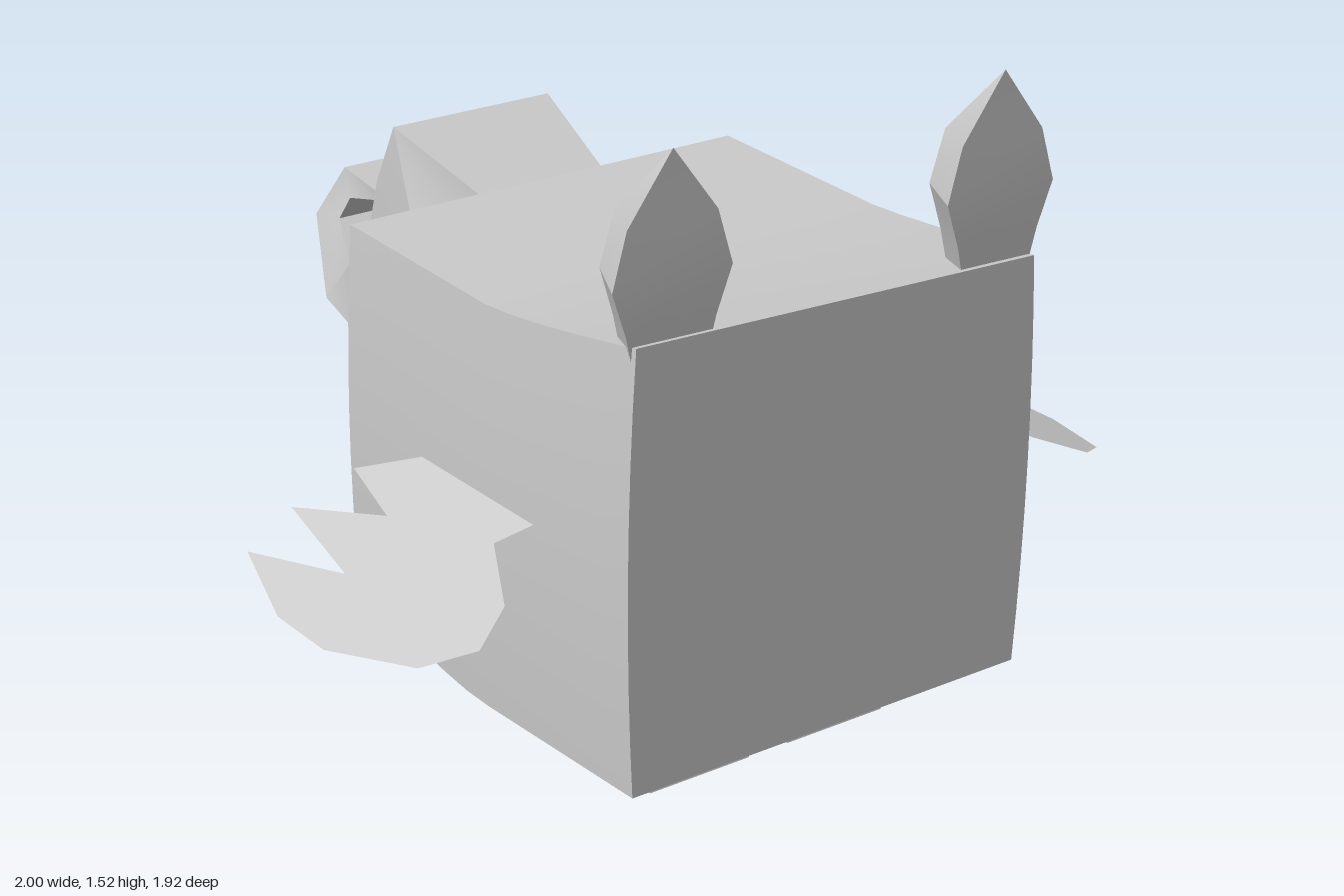
import * as THREE from 'three';
import { toCreasedNormals } from 'three/addons/utils/BufferGeometryUtils.js';

const material = new THREE.MeshStandardMaterial({ color: 0xcccccc });
const thinMaterial = new THREE.MeshStandardMaterial({ color: 0xcccccc, side: THREE.DoubleSide });

function addMesh(parent, name, geometry, mat = material) {
  const mesh = new THREE.Mesh(geometry, mat);
  mesh.name = name;
  parent.add(mesh);
  return mesh;
}

// Skin four-cornered rings into a closed solid, keeping sharp edges creased.
function loft(rings, crease = 0.5) {
  const pos = [];
  const tri = (a, b, c) => pos.push(...a, ...b, ...c);
  for (let i = 0; i < rings.length - 1; i++) {
    const a = rings[i], b = rings[i + 1];
    for (let j = 0; j < 4; j++) {
      const k = (j + 1) % 4;
      tri(a[j], b[j], a[k]);
      tri(a[k], b[j], b[k]);
    }
  }
  const s = rings[0], e = rings[rings.length - 1];
  tri(s[0], s[1], s[2]);
  tri(s[0], s[2], s[3]);
  tri(e[2], e[1], e[0]);
  tri(e[3], e[2], e[0]);
  const geometry = new THREE.BufferGeometry();
  geometry.setAttribute('position', new THREE.Float32BufferAttribute(pos, 3));
  return toCreasedNormals(geometry, crease);
}

// Horizontal trapezoid ring: front half-width, back half-width, front z, back z.
const flatRing = (y, wf, wb, zf, zb) => [[wf, y, zf], [-wf, y, zf], [-wb, y, zb], [wb, y, zb]];

// Body: a cube with bulging sides, a dipped top and a belly rising to the back.
function bodyGeometry() {
  const geometry = new THREE.BoxGeometry(1.04, 1, 1.04, 6, 8, 12);
  const p = geometry.attributes.position;
  for (let i = 0; i < p.count; i++) {
    const x = p.getX(i), t = p.getY(i) + 0.5, z = p.getZ(i) + 0.44;
    const top = z > 0.45
      ? 1.065 + Math.pow((z - 0.45) / 0.51, 1.3) * (0.057 - 0.034 * x)
      : 1.065 + 0.018 * (0.45 - z) / 0.53;
    const bottom = z < 0.4
      ? 0.13 + 0.075 * Math.pow((0.4 - z) / 0.48, 1.4)
      : 0.13 + 0.02 * (z - 0.4) / 0.56;
    const bulge = 1 + 0.03 * (1 - Math.pow(2 * t - 1, 2));
    p.setXYZ(i, x * bulge, bottom + (top - bottom) * t, z);
  }
  geometry.computeVertexNormals();
  return geometry;
}

// Leaf-shaped ear with a flat front and a narrower back.
function earGeometry() {
  return loft([
    flatRing(1.08, 0.09, 0.05, 0.945, 0.85),
    flatRing(1.16, 0.11, 0.06, 0.947, 0.837),
    flatRing(1.26, 0.146, 0.08, 0.95, 0.818),
    flatRing(1.38, 0.11, 0.055, 0.947, 0.832),
    flatRing(1.525, 0, 0, 0.945, 0.945),
  ], 0.4);
}

// Flared square foot.
function footGeometry() {
  const rings = [[0, 0.135], [0.06, 0.121], [0.12, 0.112], [0.2, 0.11]];
  return loft(rings.map(([y, w]) => flatRing(y, w, w, w, -w)));
}

// Feathered wing: a thin sheet sloping down and outward, drawn as [x, z].
function wingGeometry(side) {
  const outline = [
    [0.5, 0.25], [0.525, 0.225], [0.64, 0.105], [0.69, 0.315], [0.79, 0.09],
    [0.845, 0.395], [0.925, 0.13], [1, 0.38], [1, 0.56], [0.92, 0.785],
    [0.82, 0.855], [0.715, 0.79], [0.615, 0.605], [0.5, 0.645],
  ];
  const shape = new THREE.Shape(outline.map(([x, z]) => new THREE.Vector2(side * x, z)));
  const geometry = new THREE.ShapeGeometry(shape);
  const p = geometry.attributes.position;
  for (let i = 0; i < p.count; i++) {
    const x = p.getX(i), z = p.getY(i);
    p.setXYZ(i, x, 0.645 - (Math.abs(x) - 0.53) * 0.383, z);
  }
  geometry.computeVertexNormals();
  return geometry;
}

// Curling tail: each section gives z, y, half-width of its inner then outer edge.
function tailGeometry() {
  const sections = [
    [-0.07, 1.062, 0.163, -0.07, 0.93, 0.163],
    [-0.38, 1.165, 0.215, -0.25, 0.915, 0.24],
    [-0.46, 1.01, 0.213, -0.315, 0.84, 0.232],
    [-0.51, 0.865, 0.208, -0.37, 0.685, 0.224],
    [-0.535, 0.705, 0.205, -0.415, 0.53, 0.2],
    [-0.735, 0.7, 0.125, -0.84, 0.58, 0.13],
    [-0.85, 0.775, 0.08, -0.96, 0.755, 0.08],
    [-0.83, 0.83, 0.06, -0.86, 0.9, 0.055],
    [-0.755, 0.84, 0.032, -0.745, 0.86, 0.03],
    [-0.715, 0.805, 0, -0.715, 0.805, 0],
  ];
  return loft(sections.map(([z1, y1, w1, z2, y2, w2]) => [
    [w1, y1, z1], [-w1, y1, z1], [-w2, y2, z2], [w2, y2, z2],
  ]));
}

export function createModel() {
  const model = new THREE.Group();
  model.name = 'creature';
  addMesh(model, 'body', bodyGeometry());
  addMesh(model, 'tail', tailGeometry());

  for (const [side, label] of [[1, 'left'], [-1, 'right']]) {
    addMesh(model, label + 'Ear', earGeometry()).position.x = side * 0.425;
    addMesh(model, label + 'Wing', wingGeometry(side), thinMaterial);
    addMesh(model, label + 'FrontFoot', footGeometry()).position.set(side * 0.188, 0, 0.623);
    addMesh(model, label + 'BackFoot', footGeometry()).position.set(side * 0.165, 0, 0.262);
  }
  return model;
}
